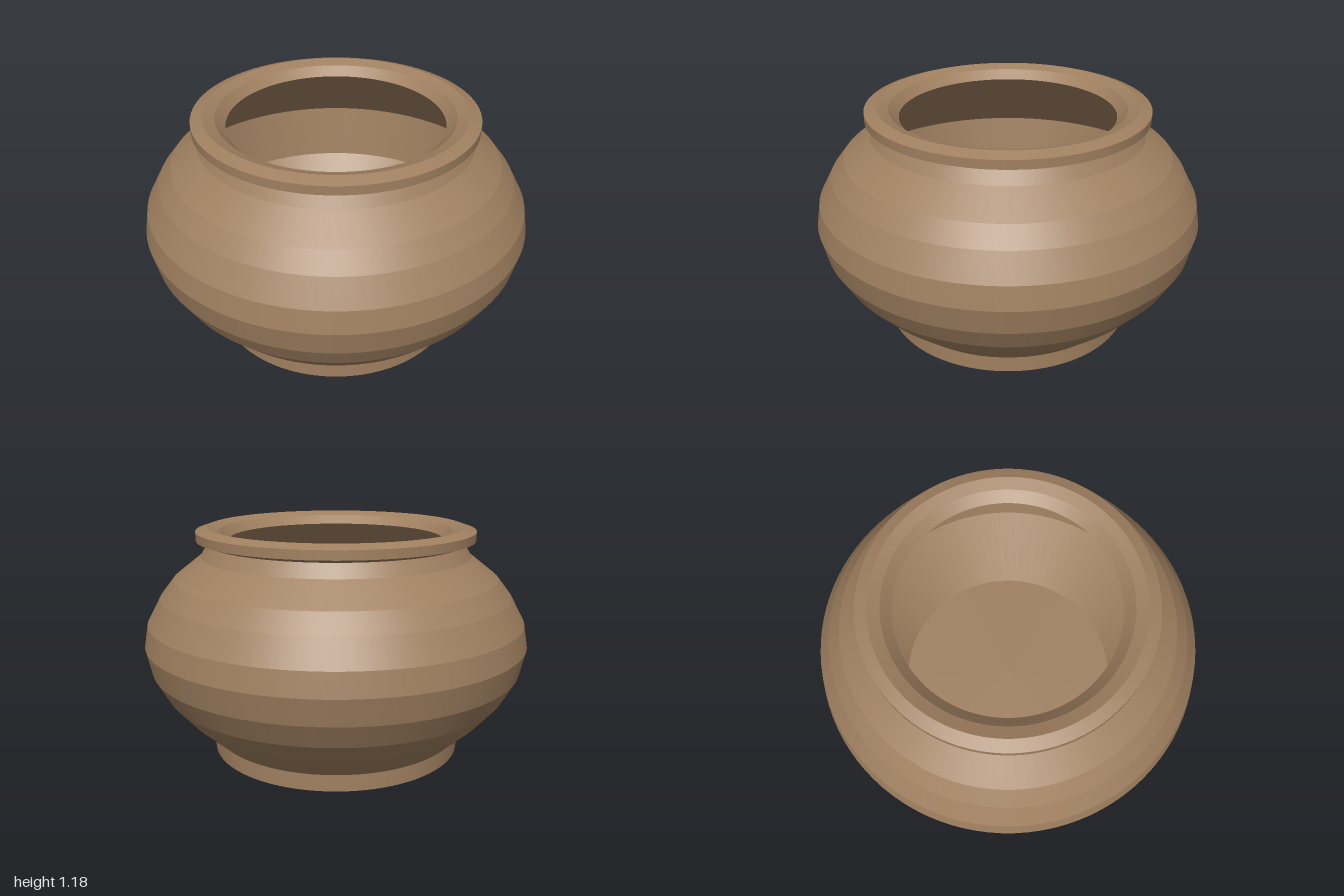
import * as THREE from 'three';
import { mergeGeometries } from 'three/addons/utils/BufferGeometryUtils.js';

const SEGMENTS = 96;

// Turns a profile into bands: smooth around the axis, creased between bands.
function bandedLathe(profile) {
  const bands = [];
  for (let i = 0; i < profile.length - 1; i++) {
    const pair = [profile[i], profile[i + 1]].map(([r, y]) => new THREE.Vector2(r, y));
    bands.push(new THREE.LatheGeometry(pair, SEGMENTS));
  }
  return mergeGeometries(bands);
}

export function createModel() {
  const clay = new THREE.MeshStandardMaterial({ color: 0xa08060 });
  clay.name = 'clay';

  const parts = {
    // Foot ring with a shallow recess underneath
    foot: [[0, 0.03], [0.59, 0.03], [0.59, 0], [0.66, 0], [0.66, 0.085]],
    // Bulging outer wall up to the neck
    body: [
      [0.66, 0.085], [0.8, 0.215], [0.9, 0.33], [0.97, 0.455], [1, 0.59],
      [0.98, 0.705], [0.91, 0.835], [0.84, 0.925], [0.7, 1.035], [0.66, 1.1],
    ],
    // Overhanging lip, sloping into the mouth
    rim: [
      [0.66, 1.1], [0.72, 1.12], [0.72, 1.165], [0.66, 1.185],
      [0.6, 1.165], [0.55, 1.12],
    ],
    // Hollow inside: shoulder, lower wall and floor
    interior: [[0.55, 1.12], [0.92, 0.75], [0.88, 0.45], [0.6, 0.09], [0, 0.09]],
  };

  const pot = new THREE.Group();
  pot.name = 'pot';
  for (const [name, profile] of Object.entries(parts)) {
    const mesh = new THREE.Mesh(bandedLathe(profile), clay);
    mesh.name = name;
    pot.add(mesh);
  }
  return pot;
}
